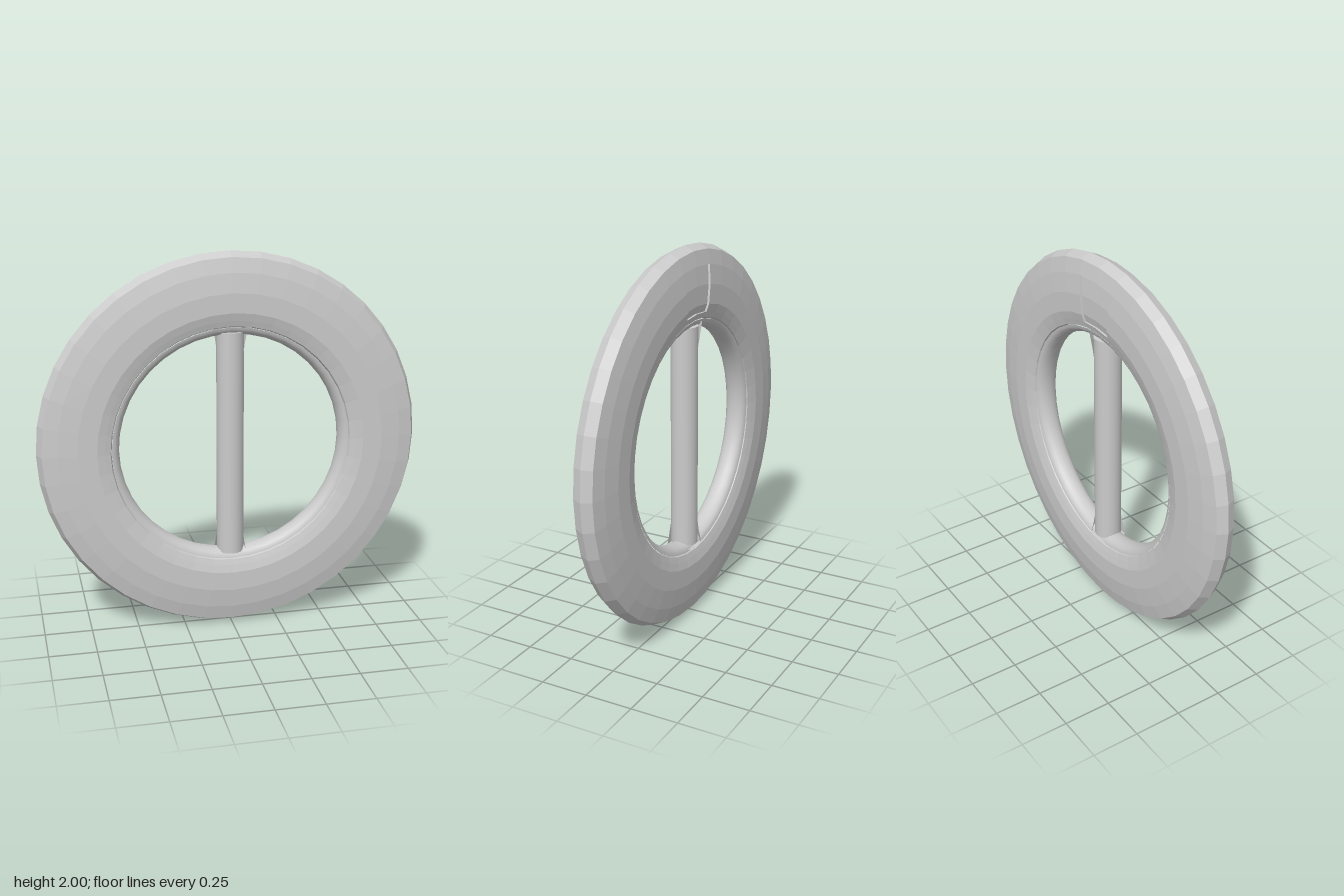
import * as THREE from 'three';

const SEG = 40;                       // facets around the ring
const STEP = (Math.PI * 2) / SEG;
const flat = new THREE.MeshStandardMaterial({ color: 0xcccccc, flatShading: true });
const smooth = new THREE.MeshStandardMaterial({ color: 0xcccccc });
const thin = new THREE.MeshStandardMaterial({ color: 0xcccccc, flatShading: true, side: THREE.DoubleSide });

function add(parent, name, geometry, material) {
  const mesh = new THREE.Mesh(geometry, material);
  mesh.name = name;
  parent.add(mesh);
  return mesh;
}

// Revolves an (r, z) profile about the z axis
function revolve(points, segments = SEG, start = 0) {
  const pts = points.map(([r, z]) => new THREE.Vector2(r, z));
  return new THREE.LatheGeometry(pts, segments, start, segments * STEP).rotateX(Math.PI / 2);
}

// Skins a stack of cross-sections and caps both ends
function loft(sections) {
  const n = sections[0].length, index = [];
  for (let s = 0; s < sections.length - 1; s++) {
    for (let i = 0; i < n; i++) {
      const a = s * n + i, b = s * n + (i + 1) % n;
      index.push(a, a + n, b, b, a + n, b + n);
    }
  }
  const top = (sections.length - 1) * n;
  for (let i = 1; i < n - 1; i++) index.push(0, i, i + 1, top, top + i + 1, top + i);
  const g = new THREE.BufferGeometry();
  g.setAttribute('position', new THREE.Float32BufferAttribute(sections.flat(2), 3));
  g.setIndex(index);
  g.computeVertexNormals();
  return g;
}

// Eight-sided section: front facet half-width a at depth z, side half-depth b at width x
function octagon(y, a, z, x, b) {
  return [[a, z], [x, b], [x, -b], [a, -z], [-a, -z], [-x, -b], [-x, b], [-a, z]]
    .map(([px, pz]) => [px, y, pz]);
}

export function createModel() {
  const model = new THREE.Group();
  model.name = 'ringWithGrip';

  const ring = new THREE.Group();
  ring.name = 'ring';
  ring.position.y = 1;
  model.add(ring);

  // Outer body: the rear band carrying the pocket is made separately
  const pocketBand = [[0.66, -0.073], [0.7, -0.083], [0.8, -0.083], [0.9, -0.07]];
  add(ring, 'body', revolve([
    [0.9, -0.07], [0.975, -0.052], [1, 0], [0.975, 0.052], [0.9, 0.07],
    [0.8, 0.083], [0.7, 0.083], [0.66, 0.073], [0.63, 0.064], [0.624, 0.05],
  ]), flat);
  add(ring, 'rearInnerBand', revolve([[0.624, -0.05], [0.63, -0.064], [0.66, -0.073]]), flat);
  add(ring, 'rearBand', revolve(pocketBand, SEG - 2, Math.PI + STEP), flat);

  // Rounded lip lining the opening
  const lip = [];
  for (let i = 0; i <= 10; i++) {
    const t = (i / 10 - 0.5) * Math.PI;
    lip.push([0.624 - 0.044 * Math.cos(t), -0.06 * Math.sin(t)]);
  }
  add(ring, 'innerLip', revolve(lip), smooth);

  // Shallow pocket at the top of the back
  const depth = 0.011;
  const floor = pocketBand.map(([r, z]) => [r, z + depth]);
  add(ring, 'pocket', revolve(
    [pocketBand[0], ...floor, pocketBand[3]], 2, Math.PI - STEP), thin);
  const wall = new THREE.Shape([...pocketBand, ...floor.reverse()].map(([r, z]) => new THREE.Vector2(r, z)));
  for (const side of [-1, 1]) {
    const g = new THREE.ShapeGeometry(wall).rotateX(Math.PI / 2);
    // Stand the (r, z) outline on a radial plane
    const p = g.attributes.position;
    const angle = side * STEP;
    for (let i = 0; i < p.count; i++) {
      const r = p.getX(i), z = p.getZ(i);
      p.setXYZ(i, r * Math.sin(angle), r * Math.cos(angle), z);
    }
    g.computeVertexNormals();
    add(ring, side < 0 ? 'pocketWallRight' : 'pocketWallLeft', g, thin);
  }

  // Upright grip bar with flared, faceted ends
  const grip = new THREE.Group();
  grip.name = 'grip';
  grip.position.y = 1;
  model.add(grip);
  add(grip, 'bar', new THREE.CylinderGeometry(0.071, 0.071, 1.19, 20), smooth);
  const flare = loft([
    octagon(0.46, 0.03, 0.06, 0.06, 0.03),
    octagon(0.53, 0.036, 0.068, 0.068, 0.036),
    octagon(0.61, 0.056, 0.072, 0.08, 0.045),
  ]);
  add(grip, 'topFlare', flare, flat);
  add(grip, 'bottomFlare', flare, flat).rotation.z = Math.PI;

  return model;
}
